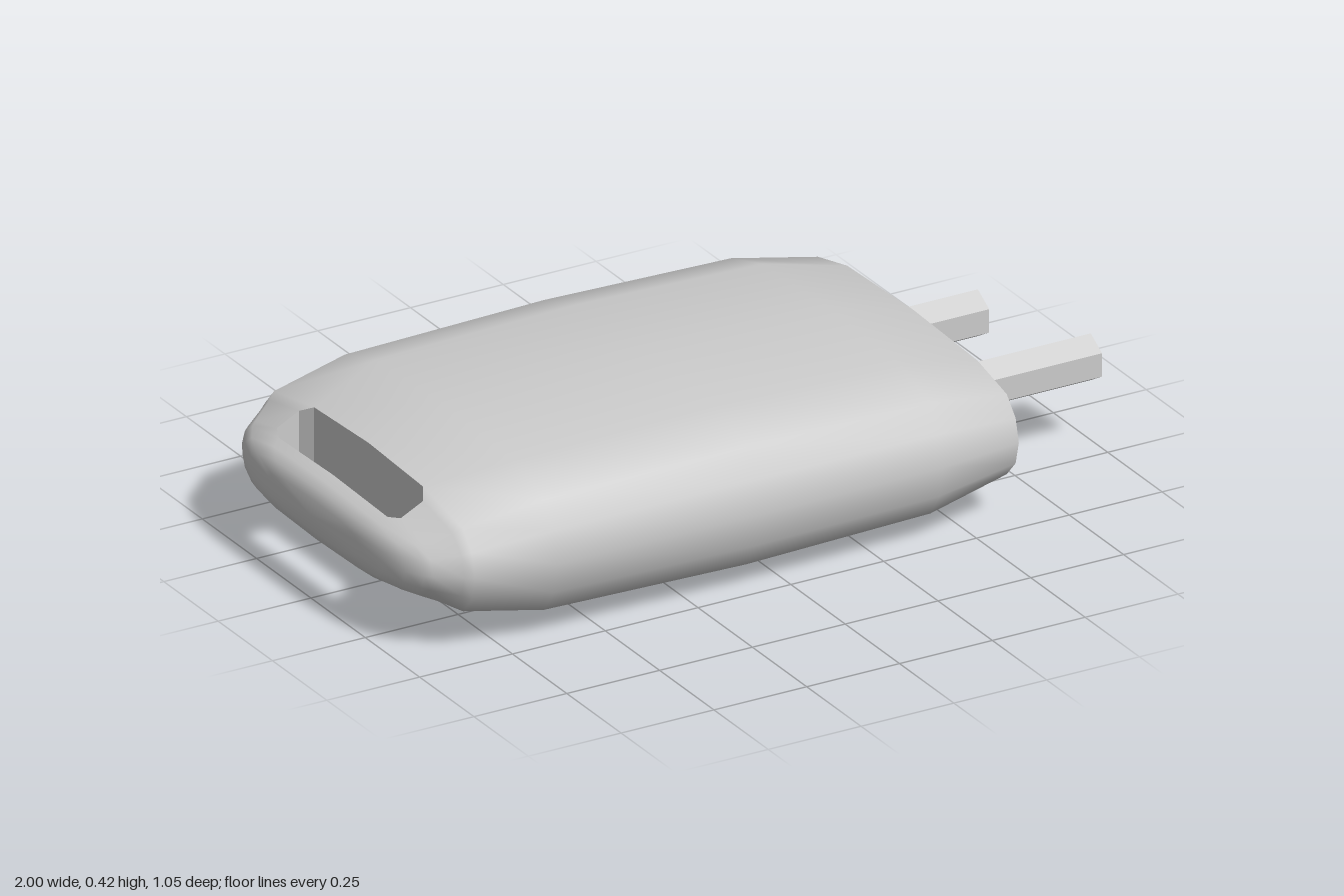
import * as THREE from 'three';

const MID = 0.213; // height of the centre line
const N = 16; // points per cross-section

// Quarter of the normalised cross-section, top centre to side: [z, y]
const QUARTER = [[0, 1], [0.61, 0.93], [0.886, 0.71], [0.97, 0.4], [1, 0]];

// Body stations: [x, half width, half height, slot half length (if the slot passes here)]
const STATIONS = [
  [-0.995, 0.21, 0.04], [-0.985, 0.31, 0.065], [-0.965, 0.375, 0.08],
  [-0.94, 0.42, 0.09, 0.25], [-0.925, 0.433, 0.098, 0.285], [-0.865, 0.476, 0.13, 0.285],
  [-0.845, 0.49, 0.15, 0.25],
  [-0.64, 0.518, 0.199], [-0.1, 0.525, 0.212], [0.4, 0.518, 0.199],
  [0.62, 0.49, 0.145], [0.647, 0.42, 0.1], [0.663, 0.27, 0.05],
];
const SLOT_A = 3, SLOT_B = 6;

// Point j of a station; j runs top, +z side, bottom, -z side
function sectionPoint(i, j) {
  j = (j + N) % N;
  const [x, w, h, slot] = STATIONS[i];
  const q = j % 8 <= 4 ? j % 8 : 8 - (j % 8);
  const fold = j > 8 ? N - j : j;
  const [z, y] = QUARTER[fold <= 4 ? fold : 8 - fold];
  const edge = slot && q === 1 ? slot : z * w;
  return [x, MID + (fold <= 4 ? 1 : -1) * y * h, (j > 8 ? -1 : 1) * edge];
}

function makeGeometry(positions, index) {
  const g = new THREE.BufferGeometry();
  g.setAttribute('position', new THREE.Float32BufferAttribute(positions, 3));
  if (index) g.setIndex(index);
  g.computeVertexNormals();
  return g;
}

// Smooth lofted shell, left open above and below the slot
function bodyGeometry() {
  const pos = [], idx = [];
  const last = STATIONS.length - 1;
  for (let i = 0; i <= last; i++) for (let j = 0; j < N; j++) pos.push(...sectionPoint(i, j));
  for (let i = 0; i < last; i++) {
    for (let j = 0; j < N; j++) {
      if (i >= SLOT_A && i < SLOT_B && [0, 7, 8, 15].includes(j)) continue;
      const k = (j + 1) % N;
      const a = i * N + j, b = i * N + k, c = b + N, d = a + N;
      idx.push(a, b, c, a, c, d);
    }
  }
  // Domed ends
  const left = pos.length / 3;
  pos.push(-1, MID, 0, 0.675, MID, 0);
  for (let j = 0; j < N; j++) {
    const k = (j + 1) % N;
    idx.push(left, k, j, left + 1, last * N + j, last * N + k);
  }
  return makeGeometry(pos, idx);
}

// Upright walls joining the upper and lower rims of the slot
function slotGeometry() {
  const rim = [[SLOT_A, 15], [SLOT_A, 0]];
  for (let i = SLOT_A; i <= SLOT_B; i++) rim.push([i, 1]);
  rim.push([SLOT_B, 0]);
  for (let i = SLOT_B; i > SLOT_A; i--) rim.push([i, 15]);
  const pos = [];
  rim.forEach(([i, j], n) => {
    const [i2, j2] = rim[(n + 1) % rim.length];
    const a = sectionPoint(i, j), b = sectionPoint(i2, j2);
    const c = sectionPoint(i2, 8 - j2), d = sectionPoint(i, 8 - j);
    pos.push(...a, ...b, ...c, ...a, ...c, ...d);
  });
  return makeGeometry(pos);
}

export function createModel() {
  const group = new THREE.Group();
  const add = (name, geometry, options) => {
    const mesh = new THREE.Mesh(geometry, new THREE.MeshStandardMaterial({ color: 0xcccccc, ...options }));
    mesh.name = name;
    group.add(mesh);
    return mesh;
  };

  add('body', bodyGeometry());
  add('slotWalls', slotGeometry(), { side: THREE.DoubleSide, flatShading: true });

  // Hexagonal prongs, the front one longer
  for (const [name, z, tip] of [['frontProng', 0.172, 1], ['backProng', -0.168, 0.895]]) {
    const length = tip - 0.6;
    const geometry = new THREE.CylinderGeometry(0.06, 0.06, length, 6)
      .rotateY(Math.PI / 2).rotateZ(-Math.PI / 2);
    add(name, geometry, { flatShading: true }).position.set(tip - length / 2, 0.215, z);
  }
  return group;
}
